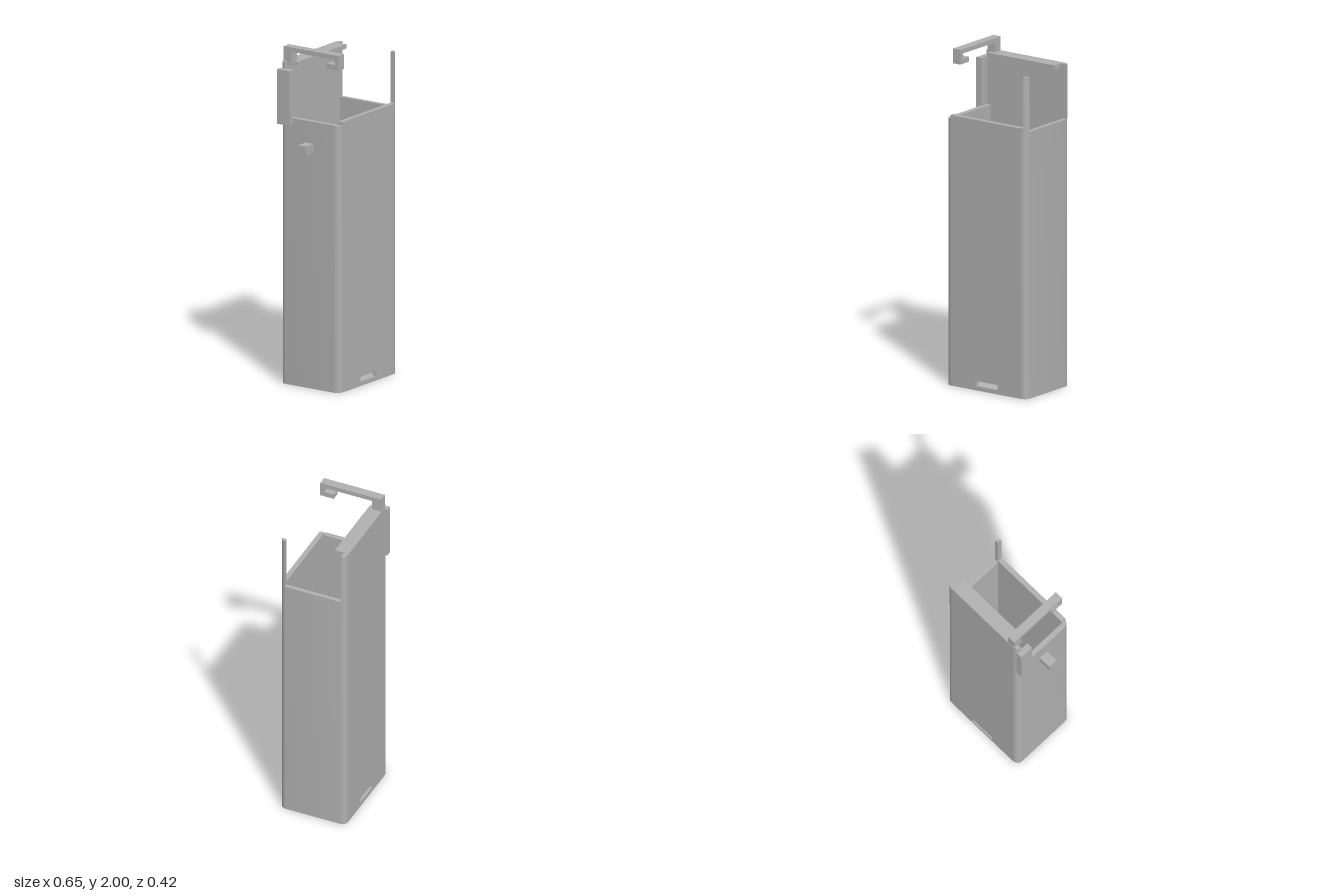
import * as THREE from 'three';
import { toCreasedNormals } from 'three/addons/utils/BufferGeometryUtils.js';

const grey = new THREE.MeshStandardMaterial({ color: 0xb0b0b0 });
grey.name = 'grey plastic';

// Outer limits of the sleeve, wall insides and corner radius
const LEFT = -0.25, RIGHT = 0.327, FRONT = 0.207, BACK = -0.21;
const IN_FRONT = 0.177, IN_BACK = -0.18, R = 0.038;
const RIM = 1.59, LIP = 1.61, TOP = 1.915;

export function createModel() {
  const model = new THREE.Group();
  model.name = 'sleeve';

  const add = (name, geometry) => {
    const mesh = new THREE.Mesh(geometry, grey);
    mesh.name = name;
    model.add(mesh);
  };

  const box = (name, x0, x1, y0, y1, z0, z1) => {
    const g = new THREE.BoxGeometry(x1 - x0, y1 - y0, z1 - z0);
    g.translate((x0 + x1) / 2, (y0 + y1) / 2, (z0 + z1) / 2);
    add(name, g);
  };

  // Extrudes a plan drawn in (x, -z) upward from y0 to y1
  const upright = (name, plan, y0, y1) => {
    const g = new THREE.ExtrudeGeometry(plan, { depth: y1 - y0, bevelEnabled: false, curveSegments: 10 });
    g.rotateX(-Math.PI / 2);
    g.translate(0, y0, 0);
    add(name, toCreasedNormals(g, 0.6));
  };

  // Rounded corner curve from the current point to (x, v), bulging toward (cx, cv)
  const round = (s, cx, cv, x, v) => {
    const k = 0.5523, p = s.currentPoint.clone();
    s.bezierCurveTo(p.x + (cx - p.x) * k, p.y + (cv - p.y) * k,
      x + (cx - x) * k, v + (cv - v) * k, x, v);
  };

  // Front and back walls, each with a slot near the bottom
  const panel = (name, height, z0, z1) => {
    const x0 = LEFT + R, x1 = RIGHT - R;
    const s = new THREE.Shape([[x0, 0], [x1, 0], [x1, height], [x0, height]].map(p => new THREE.Vector2(...p)));
    s.holes.push(new THREE.Path([[-0.04, 0.025], [-0.04, 0.056], [0.12, 0.056], [0.12, 0.025]]
      .map(p => new THREE.Vector2(...p))));
    const g = new THREE.ExtrudeGeometry(s, { depth: z1 - z0, bevelEnabled: false });
    g.translate(0, 0, z0);
    add(name, g);
  };
  panel('frontWall', LIP, IN_FRONT, FRONT);
  panel('backWall', TOP, BACK, IN_BACK);

  // Side walls with rounded outer corners, and the raised back corners above them
  for (const [name, X, inner, dir] of [['left', RIGHT, 0.302, 1], ['right', LEFT, -0.22, -1]]) {
    const end = X - dir * R;
    const side = new THREE.Shape();
    side.moveTo(end, -FRONT);
    round(side, X, -FRONT, X, -FRONT + R);
    side.lineTo(X, -BACK - R);
    round(side, X, -BACK, end, -BACK);
    side.lineTo(end, -IN_BACK);
    side.lineTo(inner, -IN_BACK);
    side.lineTo(inner, -IN_FRONT);
    side.lineTo(end, -IN_FRONT);
    upright(name + 'Wall', side, 0, RIM);

    const corner = new THREE.Shape();
    corner.moveTo(end, -IN_BACK);
    corner.lineTo(X, -IN_BACK);
    round(corner, X, -BACK, end, -BACK);
    upright(name + 'BackCorner', corner, RIM, TOP);
  }

  // Ends of the front lip
  box('frontLipLeft', RIGHT - R, 0.302, RIM, LIP, IN_FRONT, 0.2045);
  box('frontLipRight', -0.22, LEFT + R, RIM, LIP, IN_FRONT, 0.2055);

  // Thin post on the front left corner
  const post = new THREE.Shape();
  post.moveTo(0.302, -IN_FRONT);
  post.lineTo(0.302, -0.2045);
  round(post, 0.322, -0.2, RIGHT, -IN_FRONT);
  upright('cornerPost', post, RIM, TOP);

  // Rail inside the top of the back wall
  box('backRail', -0.2, 0.283, 1.89, TOP, IN_BACK, -0.122);

  // Hooked arm across the opening, drawn in (-z, y)
  const hook = new THREE.Shape([
    [0.207, 1.89], [0.207, 2], [-0.18, 2], [-0.18, 1.912], [-0.095, 1.912], [-0.095, 1.942],
    [-0.155, 1.942], [-0.155, 1.973], [0.15, 1.973], [0.15, 1.89],
  ].map(p => new THREE.Vector2(...p)));
  const arm = new THREE.ExtrudeGeometry(hook, { depth: 0.053, bevelEnabled: false });
  arm.rotateY(Math.PI / 2);
  arm.translate(-0.22, 0, 0);
  add('hookArm', arm);

  // Side bracket and peg
  box('sideBracket', -0.281, -0.243, 1.55, 1.875, BACK, -0.124);
  box('sidePeg', -0.328, -0.24, 1.405, 1.46, -0.03, 0.028);

  return model;
}
